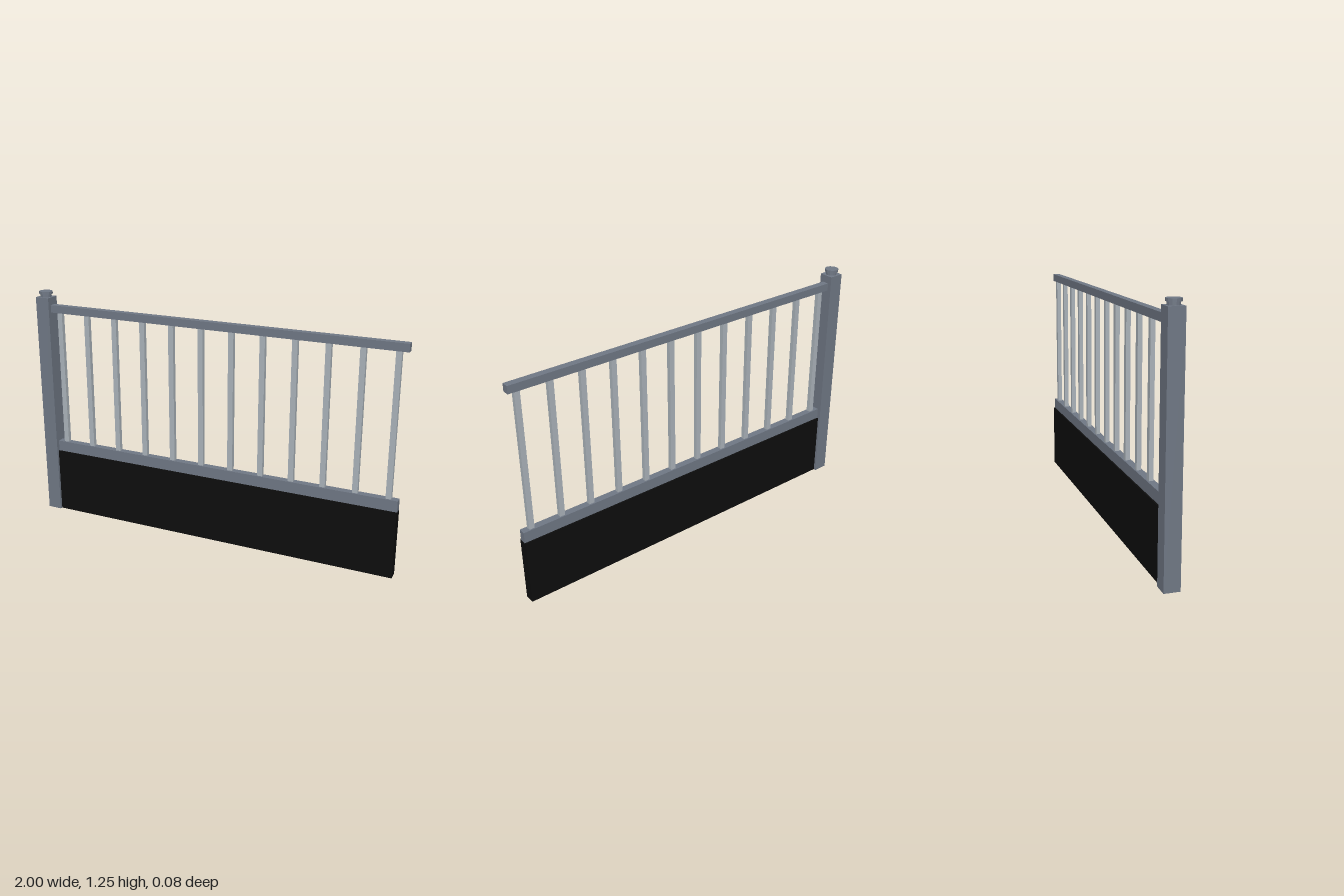
import * as THREE from 'three';

export function createModel() {
  const model = new THREE.Group();
  model.name = 'railingSection';

  const frameGrey = new THREE.MeshStandardMaterial({ name: 'frame grey', color: 0x6f7784 });
  const barGrey = new THREE.MeshStandardMaterial({ name: 'light bar grey', color: 0xaab2b9 });
  const panelBlack = new THREE.MeshStandardMaterial({ name: 'panel black', color: 0x0d0d0d });

  const add = (name, geometry, material, x, y) => {
    const mesh = new THREE.Mesh(geometry, material);
    mesh.name = name;
    mesh.position.set(x, y, 0);
    model.add(mesh);
  };

  // Box given by its x and y extents and its full depth
  const box = (name, material, x0, x1, y0, y1, depth) =>
    add(name, new THREE.BoxGeometry(x1 - x0, y1 - y0, depth), material, (x0 + x1) / 2, (y0 + y1) / 2);

  // Faceted disc between two heights
  const disc = (name, radius, y0, y1) => {
    const geometry = new THREE.CylinderGeometry(radius, radius, y1 - y0, 12).toNonIndexed();
    geometry.computeVertexNormals();
    add(name, geometry, frameGrey, -0.961, (y0 + y1) / 2);
  };

  // Post with a stepped cap
  box('post', frameGrey, -1, -0.922, 0, 1.22, 0.078);
  disc('capNeck', 0.029, 1.22, 1.238);
  disc('capTop', 0.036, 1.236, 1.25);

  // Rails and solid lower panel
  box('topRail', frameGrey, -0.922, 1, 1.14, 1.18, 0.037);
  box('bottomRail', frameGrey, -0.922, 1, 0.35, 0.41, 0.037);
  box('lowerPanel', panelBlack, -0.922, 1, 0, 0.352, 0.052);

  // Evenly spaced balusters
  const count = 12;
  for (let i = 0; i < count; i++) {
    const x = -0.874 + (i * 1.826) / (count - 1);
    box('baluster', barGrey, x - 0.014, x + 0.014, 0.41, 1.14, 0.022);
  }
  return model;
}
